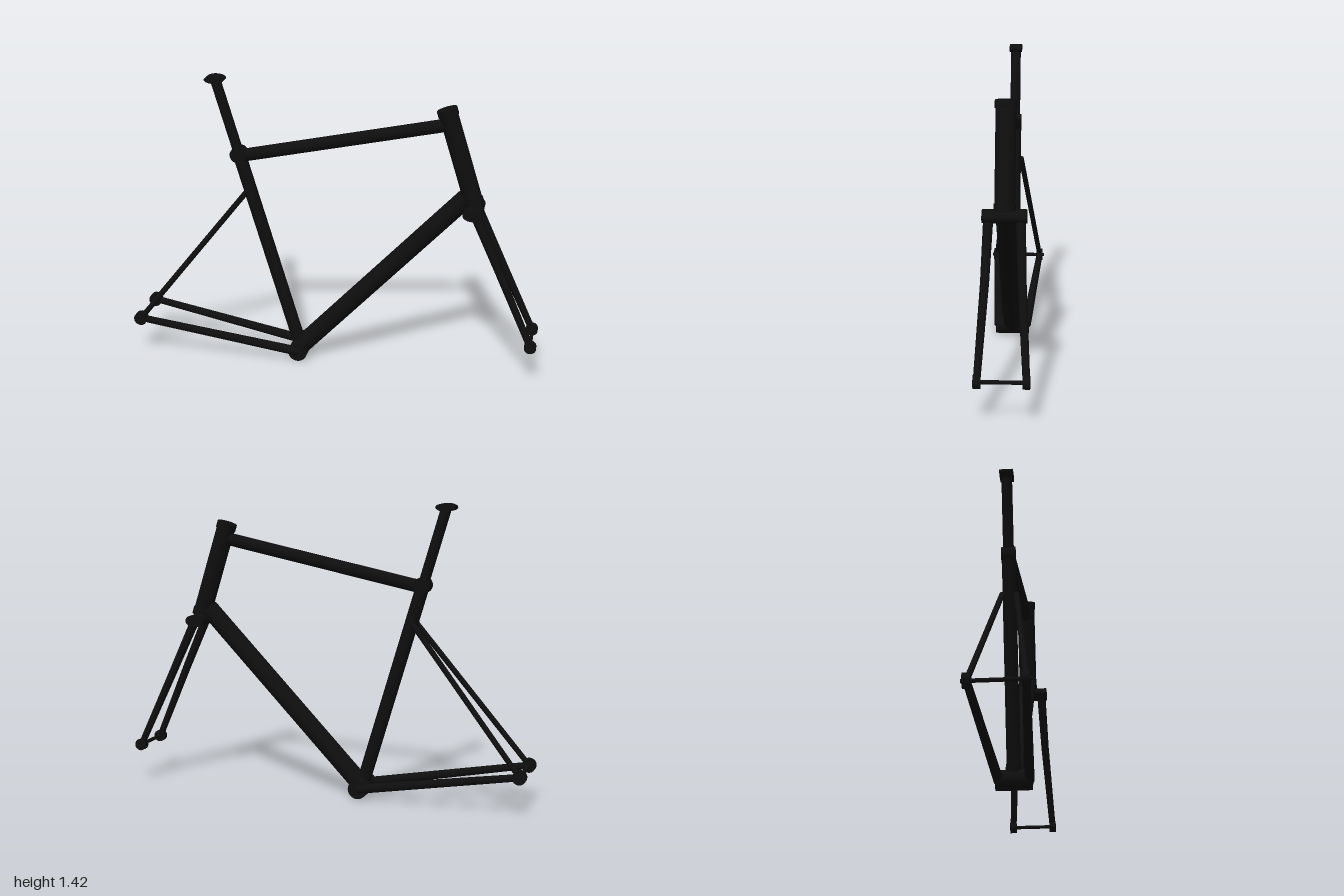
import * as THREE from 'three';

const UP = new THREE.Vector3(0, 1, 0);

export function createModel() {
  const group = new THREE.Group();
  const black = new THREE.MeshStandardMaterial({ color: 0x0e0e0e });
  black.name = 'frame black';

  // Tapered tube between two points: radius ra at a, rb at b
  function tube(name, a, b, ra, rb = ra) {
    const from = new THREE.Vector3(...a);
    const dir = new THREE.Vector3(...b).sub(from);
    const mesh = new THREE.Mesh(new THREE.CylinderGeometry(rb, ra, dir.length(), 24), black);
    mesh.position.copy(from).addScaledVector(dir, 0.5);
    mesh.quaternion.setFromUnitVectors(UP, dir.normalize());
    mesh.name = name;
    group.add(mesh);
  }

  // Cross-wise barrel along z with an oval section
  function barrel(name, [x, y, z], rx, ry, length) {
    const geo = new THREE.CylinderGeometry(1, 1, length, 24).rotateX(Math.PI / 2).scale(rx, ry, 1);
    const mesh = new THREE.Mesh(geo, black);
    mesh.position.set(x, y, z);
    mesh.name = name;
    group.add(mesh);
  }

  const bracket = [-0.175, 0.047, 0];
  const seatCluster = [-0.47, 1.04, 0];
  const seatTop = [-0.578, 1.405, 0];

  // Point on the steering axis, t = 0 at the top and 1 at the bottom
  const steer = (t) => [0.525 + 0.145 * t, 1.312 - 0.462 * t, 0];

  // Main triangle
  tube('seatTube', bracket, seatCluster, 0.032);
  tube('topTube', [-0.47, 1.03, 0], [0.54, 1.237, 0], 0.031);
  tube('downTube', bracket, [0.63, 0.885, 0], 0.046);
  tube('headTube', steer(0), steer(1), 0.045);
  tube('upperHeadsetCup', steer(0), steer(0.07), 0.049);
  tube('lowerHeadsetCup', steer(0.93), steer(1), 0.049);
  barrel('bottomBracket', bracket, 0.047, 0.047, 0.166);

  // Seat post, collar and saddle clamp
  barrel('seatCollar', seatCluster, 0.039, 0.039, 0.064);
  tube('seatPost', seatCluster, seatTop, 0.025);
  barrel('saddleClamp', seatTop, 0.047, 0.019, 0.062);

  // Fork crown and axles
  barrel('forkCrown', [0.668, 0.83, 0], 0.047, 0.03, 0.196);
  barrel('rearAxle', [-0.968, 0.187, 0], 0.009, 0.009, 0.288);
  barrel('frontAxle', [0.968, 0.187, 0], 0.009, 0.009, 0.23);

  // Paired stays, blades and dropouts
  for (const [side, s] of [['left', -1], ['right', 1]]) {
    const rear = [-0.968, 0.187, 0.12 * s];
    const front = [0.968, 0.187, 0.105 * s];
    const knee = [0.794, 0.57, 0.08 * s];
    tube(side + 'Chainstay', [-0.175, 0.047, 0.07 * s], rear, 0.023, 0.017);
    tube(side + 'Seatstay', [-0.43, 0.858, 0.033 * s], rear, 0.013);
    tube(side + 'ForkBladeUpper', [0.675, 0.83, 0.07 * s], knee, 0.022, 0.0195);
    tube(side + 'ForkBladeLower', knee, front, 0.0195, 0.016);
    barrel(side + 'RearDropout', rear, 0.033, 0.033, 0.034);
    barrel(side + 'FrontDropout', front, 0.029, 0.029, 0.032);
  }

  return group;
}
